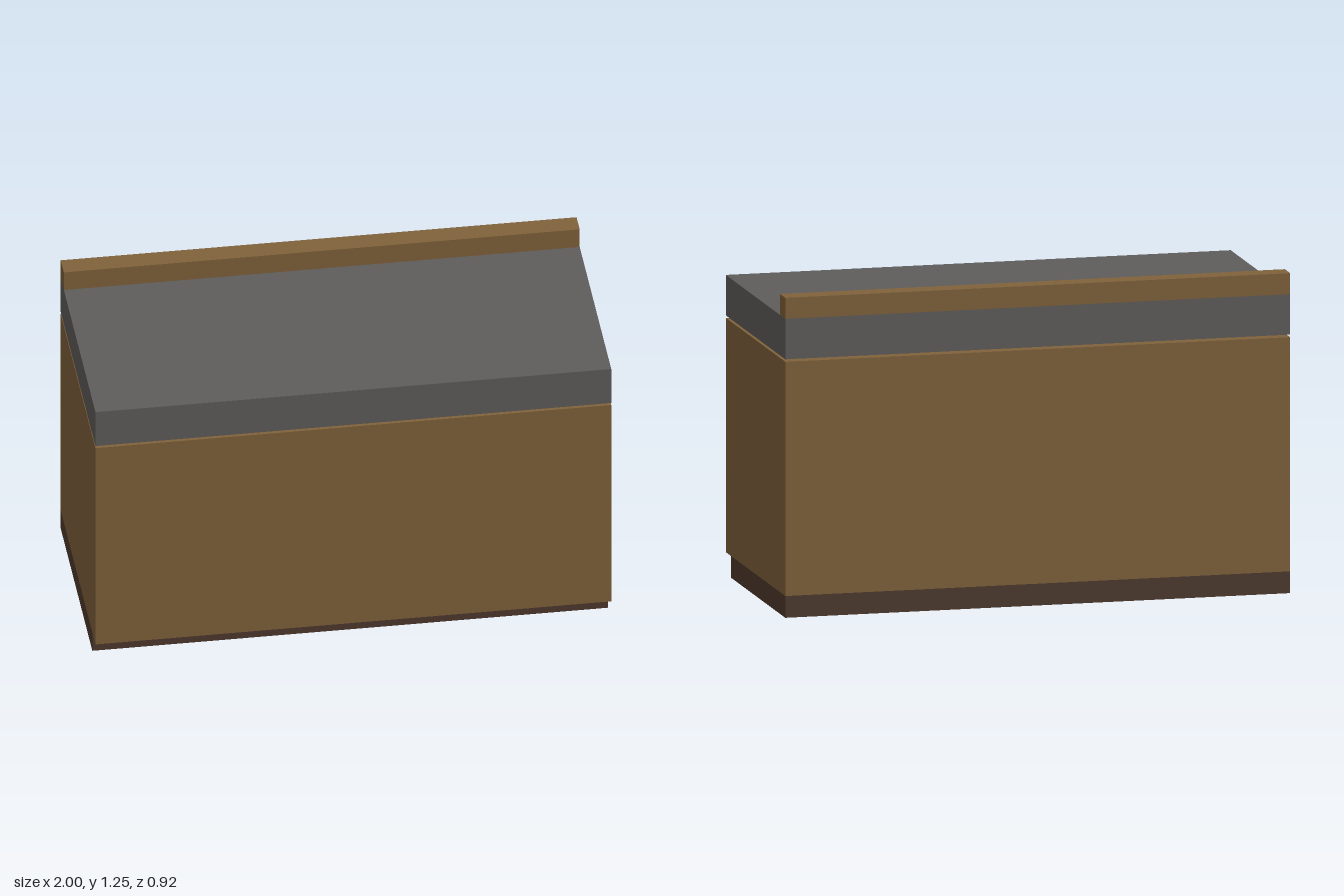
import * as THREE from 'three';

export function createModel() {
  const model = new THREE.Group();
  model.name = 'counter';

  const wood = new THREE.MeshStandardMaterial({ color: 0x80613b });
  wood.name = 'wood';
  const stone = new THREE.MeshStandardMaterial({ color: 0x5e5d5b });
  stone.name = 'grey stone';
  const plinth = new THREE.MeshStandardMaterial({ color: 0x4e392d, side: THREE.DoubleSide });
  plinth.name = 'dark brown';

  // Box from its lower and upper limits on each axis
  function box(name, material, [x0, x1], [y0, y1], [z0, z1]) {
    const mesh = new THREE.Mesh(new THREE.BoxGeometry(x1 - x0, y1 - y0, z1 - z0), material);
    mesh.position.set((x0 + x1) / 2, (y0 + y1) / 2, (z0 + z1) / 2);
    mesh.name = name;
    model.add(mesh);
  }

  const back = -0.458, front = 0.458, toe = 0.377;
  const kick = 0.085;

  // Cabinet, spacer pad, worktop and rear upstand
  box('cabinetBody', wood, [-1, 1], [kick, 1.0], [back, front]);
  box('spacerPad', wood, [-0.333, 0.333], [1.0, 1.01], [0.127, toe]);
  box('worktop', stone, [-1, 1], [1.01, 1.168], [back, front]);
  box('backUpstand', wood, [-1, 1], [1.168, 1.25], [back, -0.375]);

  // Recessed plinth: a thin frame, open underneath
  const base = new THREE.Group();
  base.name = 'plinth';
  const depth = toe - back;
  const midZ = (toe + back) / 2;
  const panels = [
    ['plinthFront', 2, 0, toe, 0],
    ['plinthBack', 2, 0, back, Math.PI],
    ['plinthLeft', depth, 1, midZ, Math.PI / 2],
    ['plinthRight', depth, -1, midZ, -Math.PI / 2],
  ];
  for (const [name, width, x, z, turn] of panels) {
    const panel = new THREE.Mesh(new THREE.PlaneGeometry(width, kick), plinth);
    panel.position.set(x, kick / 2, z);
    panel.rotation.y = turn;
    panel.name = name;
    base.add(panel);
  }
  model.add(base);

  return model;
}
